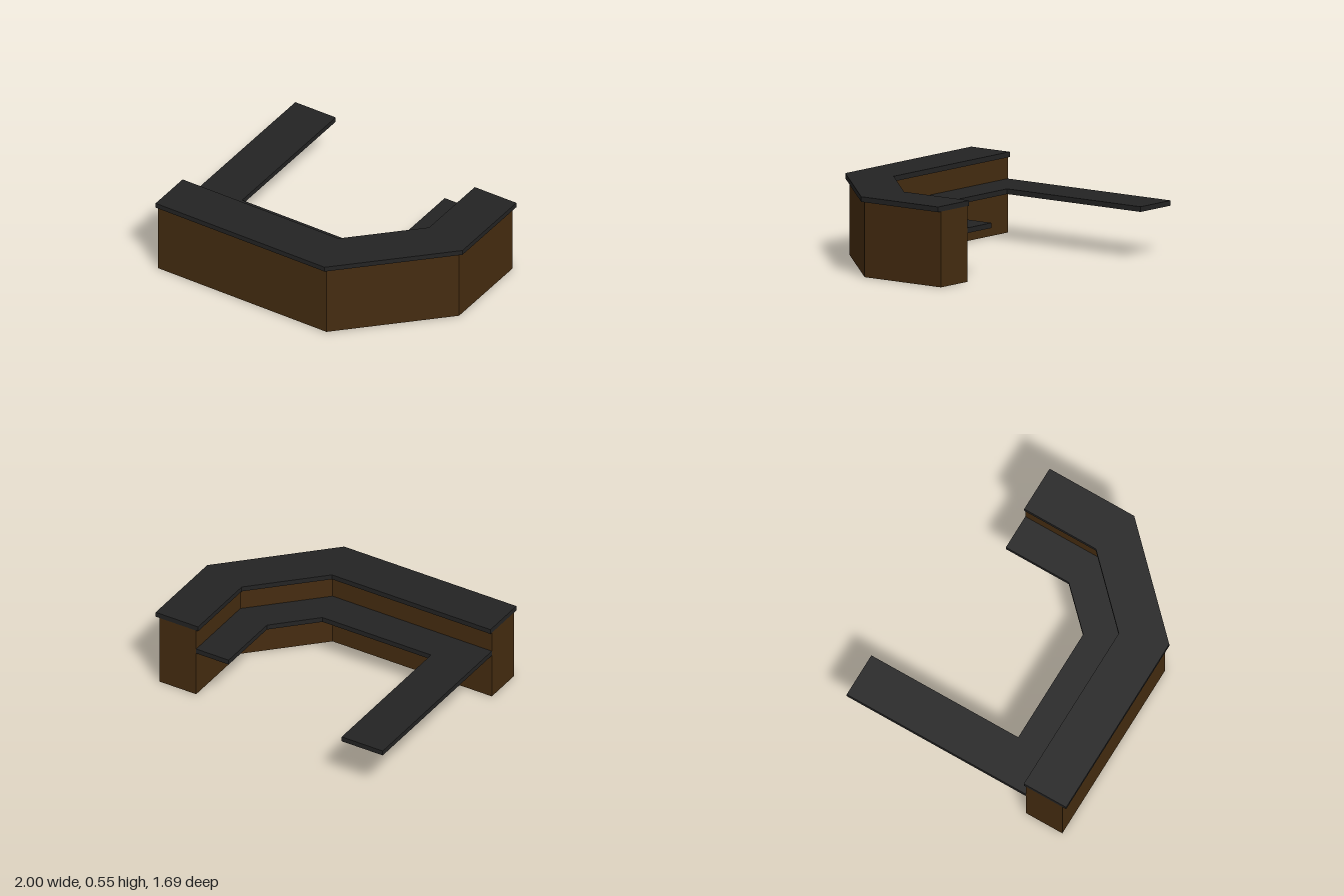
import * as THREE from 'three';

// Extrudes a floor-plan outline of [x, z] points upward from y0 to y1
function slab(name, outline, y0, y1, material) {
  const shape = new THREE.Shape(outline.map(([x, z]) => new THREE.Vector2(x, -z)));
  const geometry = new THREE.ExtrudeGeometry(shape, { depth: y1 - y0, bevelEnabled: false });
  geometry.rotateX(-Math.PI / 2);
  geometry.translate(0, y0, 0);
  const mesh = new THREE.Mesh(geometry, material);
  mesh.name = name;
  return mesh;
}

export function createModel() {
  const wood = new THREE.MeshStandardMaterial({ color: 0x452c10 });
  wood.name = 'dark wood';
  const black = new THREE.MeshStandardMaterial({ color: 0x232323 });
  black.name = 'black worktop';

  const model = new THREE.Group();
  model.name = 'receptionDesk';

  // Inner face of the counter wall, shared by the wall and the desk that meets it
  const innerFace = [[0.685, -0.47], [0.685, 0.09], [0.24, 0.535], [-1, 0.535]];

  // Thick counter wall with a chamfered corner
  model.add(slab('counterBody', [
    [-1, 0.815], [0.335, 0.815], [0.97, 0.178], [0.97, -0.47], ...innerFace,
  ], 0, 0.51, wood));

  // Overhanging counter top
  model.add(slab('counterTop', [
    [-1, 0.845], [0.34, 0.845], [1, 0.183], [1, -0.47],
    [0.67, -0.47], [0.67, 0.083], [0.235, 0.518], [-1, 0.518],
  ], 0.51, 0.545, black));

  // Lower work surface with a long side return
  model.add(slab('workSurface', [
    ...innerFace, [-1, -0.848], [-0.68, -0.848], [-0.68, 0.285],
    [0.165, 0.285], [0.432, 0.015], [0.432, -0.47],
  ], 0.328, 0.363, black));

  return model;
}
